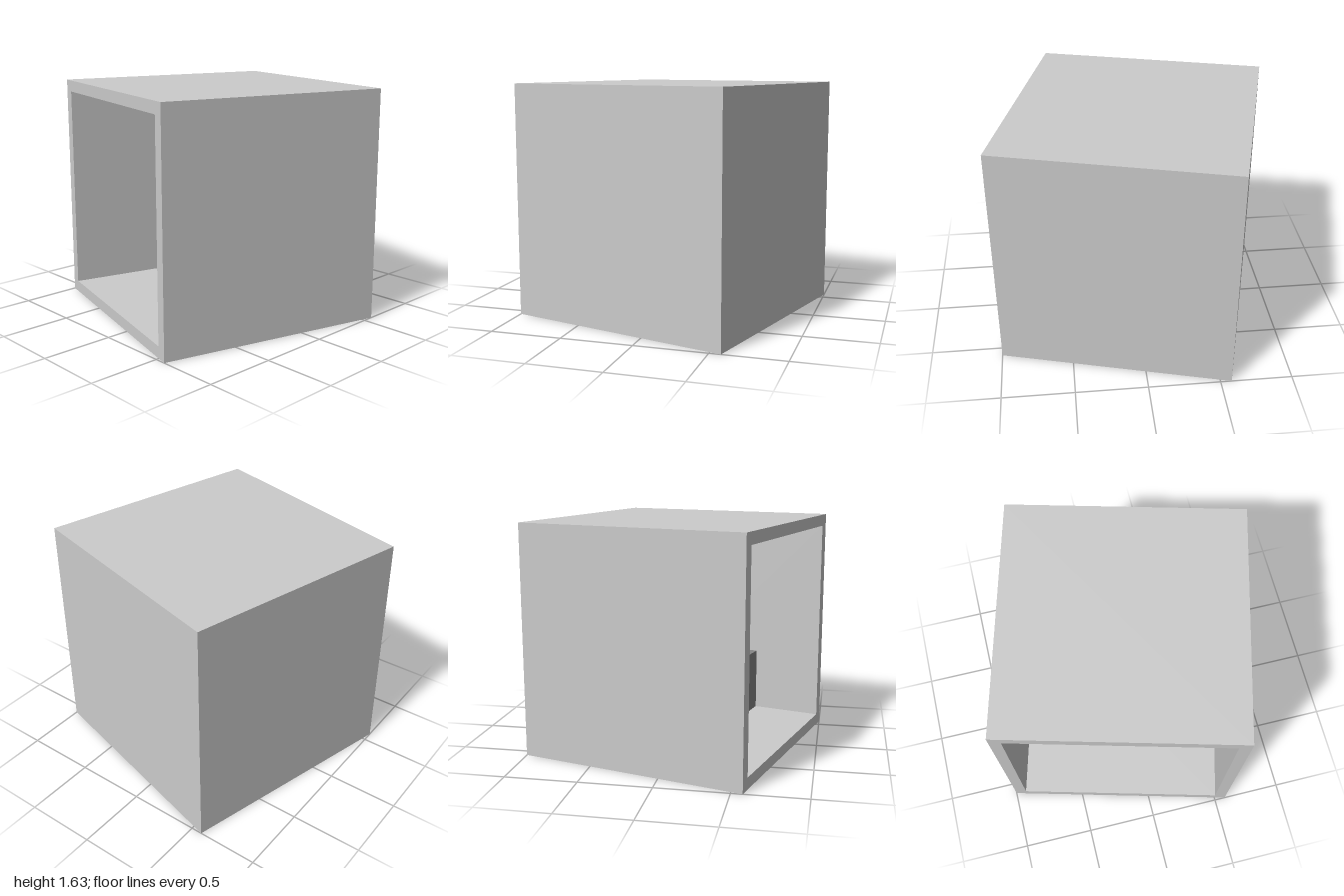
import * as THREE from 'three';

const SIZE = 1.633;          // outer edge length
const INNER = SIZE * 0.9;    // cavity edge length
const BLOCK = 0.46;          // small cube edge length

// Cube with its -x face left off; inward turns the faces to look inside
function openCube(size, inward) {
  const geo = new THREE.BoxGeometry(size, size, size);
  const index = Array.from(geo.index.array);
  if (inward) {
    geo.scale(-1, 1, 1);     // mirroring flips the winding
    index.splice(0, 6);      // the former +x face is now at -x
  } else {
    index.splice(6, 6);
  }
  geo.setIndex(index);
  geo.clearGroups();
  geo.computeVertexNormals();
  return geo;
}

function square(PathType, size) {
  const h = size / 2;
  return new PathType([[-h, -h], [h, -h], [h, h], [-h, h]].map(([x, y]) => new THREE.Vector2(x, y)));
}

export function createModel() {
  const group = new THREE.Group();
  group.name = 'openBoxWithCube';
  const grey = new THREE.MeshStandardMaterial({ color: 0xcccccc });
  const dark = new THREE.MeshStandardMaterial({ color: 0x868686 });

  const add = (name, geo, mat, x, y, z) => {
    const mesh = new THREE.Mesh(geo, mat);
    mesh.name = name;
    mesh.position.set(x, y, z);
    group.add(mesh);
    return mesh;
  };

  const mid = SIZE / 2;
  const cavityX = (INNER - SIZE) / 2;   // cavity is flush with the open side

  // Outer walls
  add('outerShell', openCube(SIZE, false), grey, 0, mid, 0);

  // Cavity walls, floor and ceiling
  add('cavity', openCube(INNER, true), grey, cavityX, mid, 0);

  // Rim around the opening
  const rim = square(THREE.Shape, SIZE);
  rim.holes.push(square(THREE.Path, INNER));
  add('openingRim', new THREE.ShapeGeometry(rim).rotateY(-Math.PI / 2), grey, -mid, mid, 0);

  // Small cube on the cavity floor, against its side wall
  const inset = (INNER - BLOCK) / 2;
  add('innerCube', new THREE.BoxGeometry(BLOCK, BLOCK, BLOCK), dark, cavityX, mid - inset, inset);

  group.rotation.y = -Math.PI / 12;
  return group;
}
